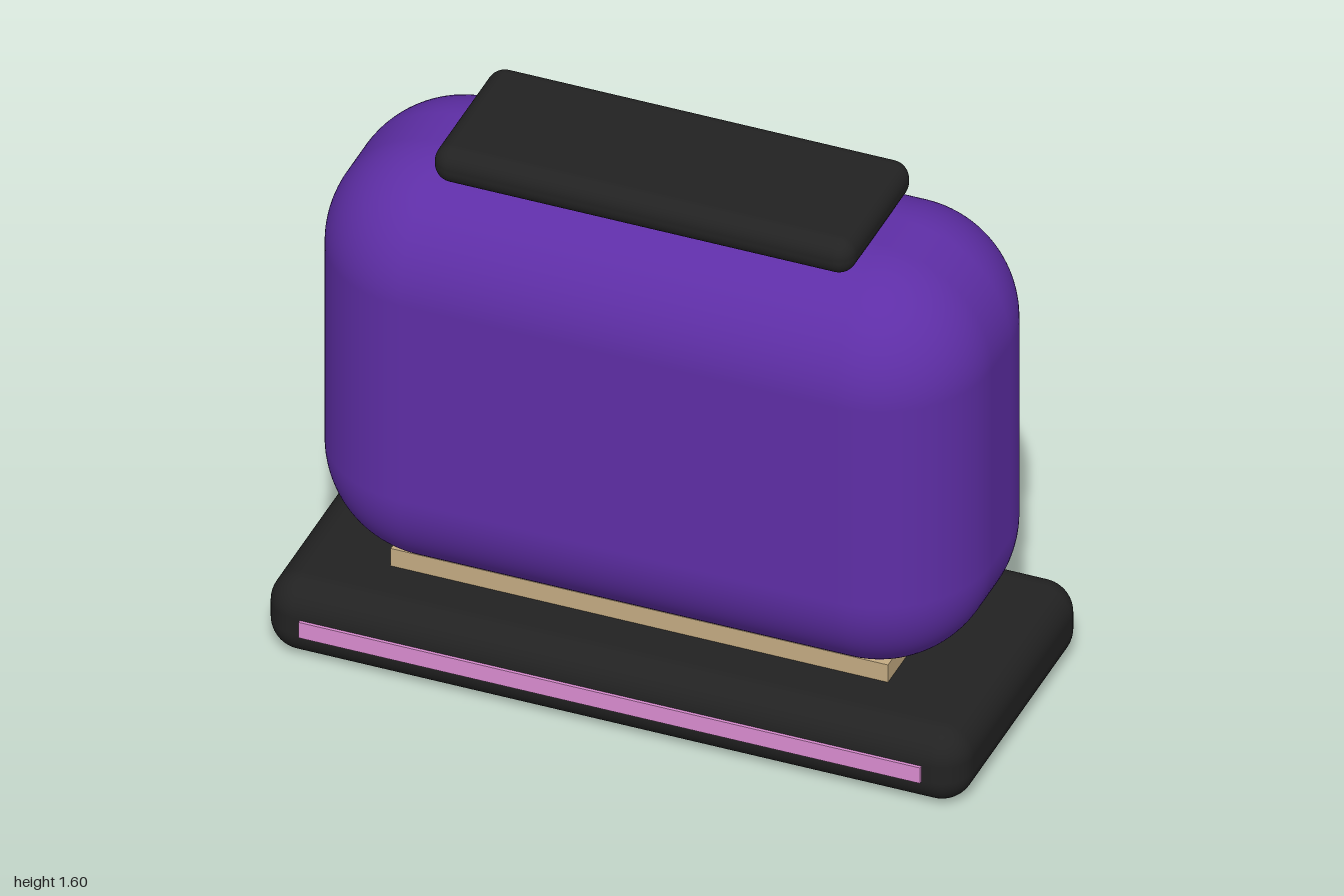
import * as THREE from 'three';
import { RoundedBoxGeometry } from 'three/addons/geometries/RoundedBoxGeometry.js';

const Z = -0.005; // depth centre of the main parts

function material(name, color) {
  const m = new THREE.MeshStandardMaterial({ color });
  m.name = name;
  return m;
}

export function createModel() {
  const model = new THREE.Group();
  model.name = 'model';
  const black = material('black', 0x222222);
  const purple = material('purple', 0x5e2ea6);
  const tan = material('tan', 0xc4ab82);
  const pink = material('pink', 0xda8cd0);

  function add(name, geometry, mat, y, z = Z) {
    const mesh = new THREE.Mesh(geometry, mat);
    mesh.name = name;
    mesh.position.set(0, y, z);
    model.add(mesh);
  }

  // Rounded plinth on the ground
  add('base', new RoundedBoxGeometry(2, 0.23, 0.86, 8, 0.09), black, 0.115);
  // Thin stripe along the front of the plinth
  add('frontStripe', new THREE.BoxGeometry(1.775, 0.05, 0.009), pink, 0.112, 0.4295);
  // Flat block joining plinth and body
  add('neck', new THREE.BoxGeometry(1.42, 0.065, 0.457), tan, 0.2535);
  // Large soft-cornered body
  add('body', new RoundedBoxGeometry(1.88, 1.27, 0.77, 14, 0.32), purple, 0.88);
  // Flat pad on top
  add('topPad', new RoundedBoxGeometry(1.2, 0.11, 0.457, 6, 0.05), black, 1.545);

  return model;
}
